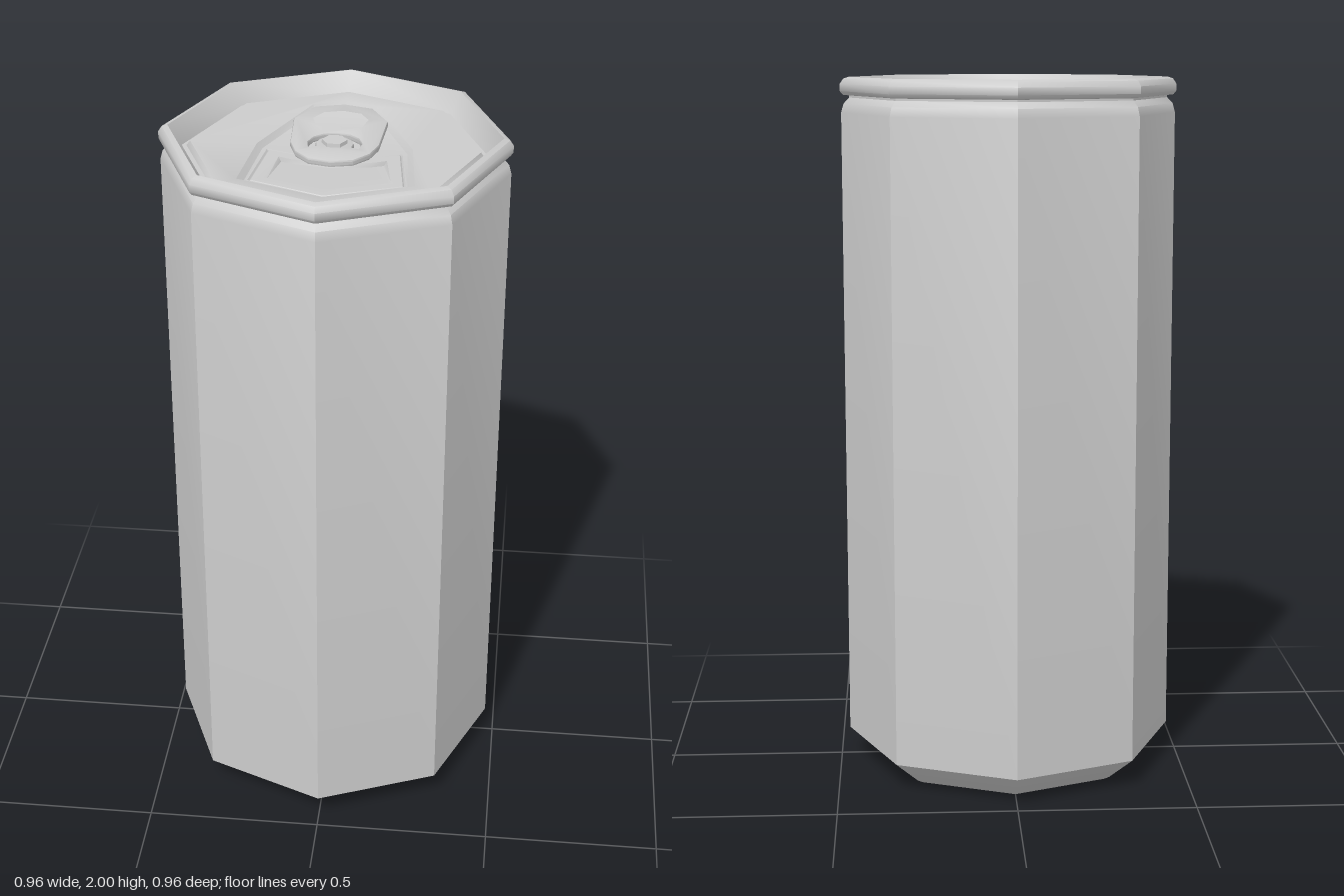
import * as THREE from 'three';
import { mergeGeometries, toCreasedNormals } from 'three/addons/utils/BufferGeometryUtils.js';

const CREASE = 0.7;
const DECK = 1.957, FLOOR = 1.943;

// Full outline [x, z] from its right half, listed back to front
const mirror = (half) => [
  ...half,
  ...half.filter(([x]) => x > 0).reverse().map(([x, z]) => [-x, z]),
];
const inset = (loop, k, cz) => loop.map(([x, z]) => [x * k, cz + (z - cz) * k]);
const polygon = (n, r) => Array.from({ length: n }, (_, i) => {
  const a = Math.PI - (i / n) * Math.PI * 2;
  return [Math.sin(a) * r, Math.cos(a) * r];
});
const vectors = (loop) => loop.map(([x, z]) => new THREE.Vector2(x, -z));

function toShape(loop, holes = []) {
  const shape = new THREE.Shape(vectors(loop));
  holes.forEach((h) => shape.holes.push(new THREE.Path(vectors(h))));
  return shape;
}

// Flat or sloped sheet facing up
function sheet(loop, holes, height) {
  const g = new THREE.ShapeGeometry(toShape(loop, holes)).rotateX(-Math.PI / 2);
  const p = g.attributes.position;
  for (let i = 0; i < p.count; i++) p.setY(i, height(p.getZ(i)));
  return g;
}

// Band joining two outlines, the second inside the first
function band(outer, yOuter, inner, yInner) {
  const pos = [], n = outer.length;
  const at = (loop, i, y) => [loop[i][0], y(loop[i][1]), loop[i][1]];
  for (let i = 0; i < n; i++) {
    const j = (i + 1) % n;
    const a = at(outer, i, yOuter), b = at(outer, j, yOuter);
    const c = at(inner, i, yInner), d = at(inner, j, yInner);
    pos.push(...a, ...c, ...b, ...b, ...c, ...d);
  }
  return new THREE.BufferGeometry().setAttribute('position', new THREE.Float32BufferAttribute(pos, 3));
}

function joined(parts) {
  return mergeGeometries(parts.map((part) => {
    const g = part.index ? part.toNonIndexed() : part;
    g.deleteAttribute('uv');
    g.deleteAttribute('normal');
    return g;
  }));
}

export function createModel() {
  const group = new THREE.Group();
  const material = new THREE.MeshStandardMaterial({ color: 0xcccccc });
  const add = (name, geometry) => {
    const mesh = new THREE.Mesh(toCreasedNormals(geometry, CREASE), material);
    mesh.name = name;
    group.add(mesh);
    return mesh;
  };

  // Eight-sided can: domed base, wall, neck, rolled rim and groove
  const profile = [
    [0, 0.075], [0.18, 0.065], [0.29, 0.035], [0.345, 0.008], [0.355, 0], [0.372, 0], [0.39, 0.01],
    [0.475, 0.08], [0.475, 1.9], [0.468, 1.925], [0.452, 1.942], [0.452, 1.948],
    [0.47, 1.95], [0.478, 1.96], [0.478, 1.98], [0.468, 1.995], [0.452, 2],
    [0.415, 1.943], [0.402, 1.943], [0.392, DECK],
  ].map(([r, y]) => new THREE.Vector2(r, y));
  add('canBody', new THREE.LatheGeometry(profile, 8));

  // Lid with a sunken panel, a scored mouth and a sloping dent in the mouth
  const panel = mirror([[0, -0.325], [0.09, -0.29], [0.21, 0], [0.232, 0.235], [0, 0.325]]);
  const panelFloor = inset(panel, 0.93, 0);
  const score = mirror([[0, 0.05], [0.1, 0.03], [0.183, 0.003], [0.207, 0.21], [0, 0.293]]);
  const scoreMid = inset(score, 0.98, 0.15), scoreIn = inset(score, 0.96, 0.15);
  const dent = mirror([[0, 0.085], [0.11, 0.065], [0.145, 0.05], [0.167, 0.19], [0, 0.25]]);
  const dentIn = inset(dent, 0.95, 0.17);
  const deckY = () => DECK, floorY = () => FLOOR, scoreY = () => FLOOR - 0.004;
  const rampY = (z) => FLOOR - 0.012 * Math.max(0, (0.25 - z) / 0.19);
  add('lid', joined([
    sheet(polygon(8, 0.392), [panel], deckY),
    band(panel, deckY, panelFloor, floorY),
    sheet(panelFloor, [score], floorY),
    band(score, floorY, scoreMid, scoreY),
    band(scoreMid, scoreY, scoreIn, floorY),
    sheet(scoreIn, [dent], floorY),
    band(dent, floorY, dentIn, rampY),
    sheet(dentIn, [], rampY),
  ]));

  // Pull tab with a finger hole and a C-shaped slot round the rivet
  const tab = mirror([
    [0, -0.278], [0.08, -0.255], [0.13, -0.165], [0.12, 0], [0.1, 0.06], [0.06, 0.105], [0, 0.12],
  ]);
  const fingerHole = mirror([[0, -0.232], [0.056, -0.215], [0.083, -0.168], [0.068, -0.11]]);
  const arc = (r) => Array.from({ length: 9 }, (_, i) => {
    const a = THREE.MathUtils.degToRad(66 + (228 * i) / 8);
    return [Math.sin(a) * r, Math.cos(a) * r];
  });
  const slot = [...arc(0.073), ...arc(0.052).reverse()];
  const tabGeometry = new THREE.ExtrudeGeometry(toShape(tab, [fingerHole, slot]), {
    depth: 0.008, bevelEnabled: true, bevelThickness: 0.006, bevelSize: 0.006,
    bevelOffset: -0.006, bevelSegments: 2,
  }).rotateX(-Math.PI / 2);
  add('pullTab', tabGeometry).position.y = FLOOR + 0.01;

  // Rivet
  const rivet = new THREE.CylinderGeometry(0.034, 0.038, 0.034, 6).rotateY(Math.PI / 6);
  add('rivet', rivet.rotateY(Math.PI / 3 + Math.PI / 3)).position.y = FLOOR + 0.017;

  return group;
}
